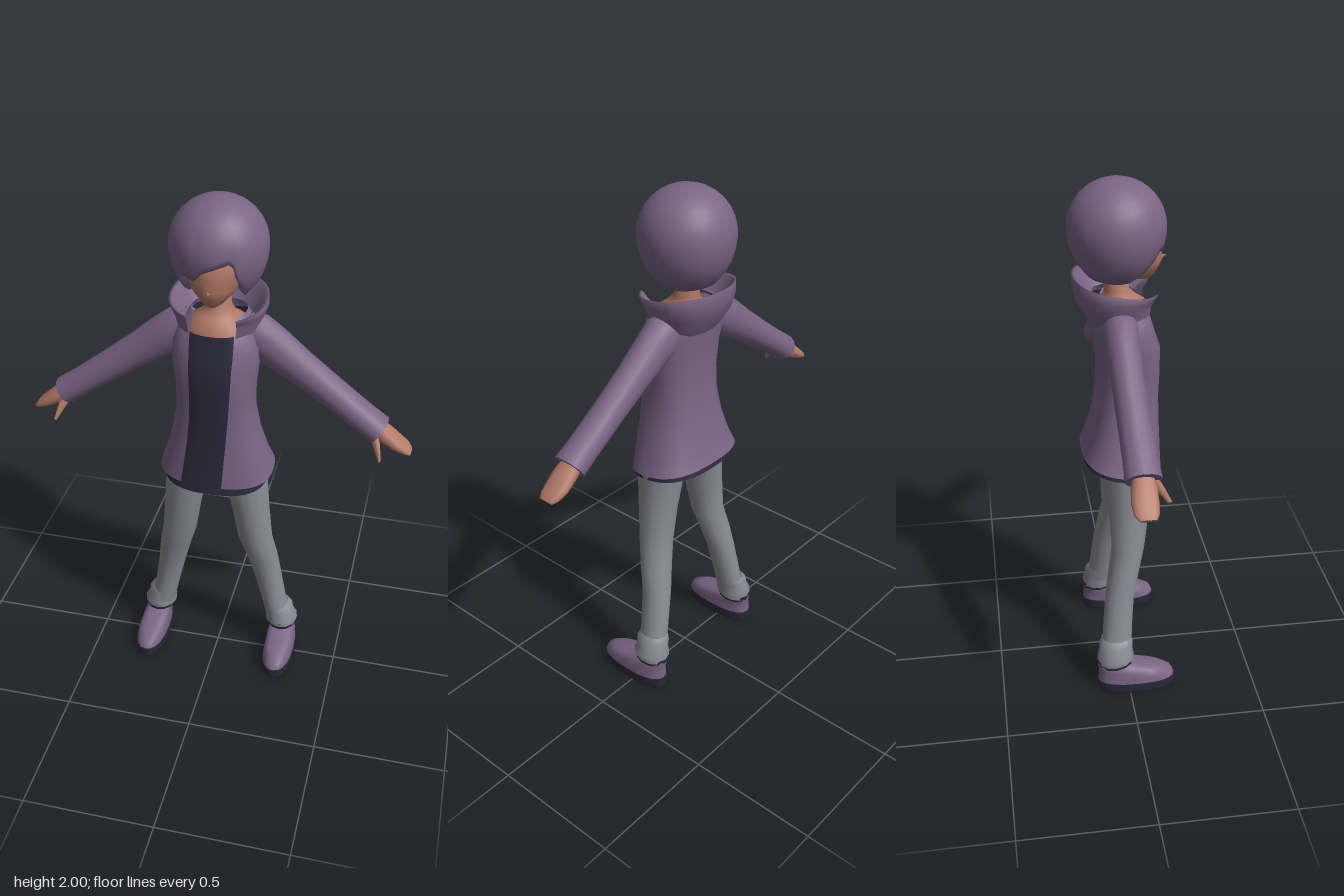
import * as THREE from 'three';

const material = (name, color) => {
  const m = new THREE.MeshStandardMaterial({ color, side: THREE.DoubleSide });
  m.name = name;
  return m;
};

// Surface through rows of points, listed from top to bottom
function grid(rows, closed) {
  const n = rows[0].length, index = [];
  for (let i = 0; i < rows.length - 1; i++) {
    for (let j = 0; j < (closed ? n : n - 1); j++) {
      const k = (j + 1) % n, a = i * n + j, b = i * n + k, c = a + n, d = b + n;
      index.push(a, c, b, b, c, d);
    }
  }
  const geo = new THREE.BufferGeometry();
  geo.setAttribute('position', new THREE.Float32BufferAttribute(rows.flat(2), 3));
  geo.setIndex(index);
  geo.computeVertexNormals();
  return geo;
}

// Ring: [y, cx, cz, rx, rz, tilt, gap on +x side, gap on -x side]
// power below 1 makes the section boxier; the gaps leave the front open
function loft(rings, { power = 1, sides = 20, capTop = false, capEnd = false } = {}) {
  const open = rings[0].length > 6;
  const bend = v => Math.sign(v) * Math.abs(v) ** power;
  const all = [...rings];
  const flat = r => [r[0], r[1], r[2], 0, 0, 0];
  if (capTop) all.unshift(flat(rings[0]), rings[0]);
  if (capEnd) all.push(rings.at(-1), flat(rings.at(-1)));
  const rows = all.map(([y, cx, cz, rx, rz, tilt = 0, gapL = 0, gapR = 0]) => {
    const start = open ? Math.asin((gapL / rx) ** (1 / power)) : 0;
    const end = 2 * Math.PI - (open ? Math.asin((gapR / rx) ** (1 / power)) : 0);
    return Array.from({ length: open ? sides + 1 : sides }, (_, j) => {
      const a = start + (end - start) * j / sides;
      const x = rx * bend(Math.sin(a)), z = rz * bend(Math.cos(a));
      return [cx + x, y + tilt * z, cz + z];
    });
  });
  return grid(rows, !open);
}

// Hair shell: a rounded bob whose lower edge follows the fringe and side locks
function hairGeometry() {
  const edge = [[-180, 1.66], [-90, 1.65], [-72, 1.655], [-58, 1.68], [-45, 1.72], [-34, 1.77],
    [-19, 1.745], [-5, 1.79], [12, 1.81], [28, 1.83], [34, 1.76], [48, 1.70], [64, 1.665],
    [90, 1.65], [180, 1.66]];
  const edgeAt = deg => {
    const i = Math.max(1, edge.findIndex(e => e[0] >= deg));
    const [a, b] = [edge[i - 1], edge[i]];
    return a[1] + (b[1] - a[1]) * (deg - a[0]) / (b[0] - a[0]);
  };
  const radius = y => 0.175 * Math.sqrt(Math.max(0, 1 - ((y - 1.83) / (y > 1.83 ? 0.17 : 0.215)) ** 2));
  const rows = [], count = 12, cols = 60;
  for (let i = 0; i <= count + 1; i++) {
    const row = [];
    for (let j = 0; j < cols; j++) {
      const deg = -180 + 360 * j / cols, a = THREE.MathUtils.degToRad(deg), low = edgeAt(deg);
      const t = Math.min(i, count) / count;
      let y = 2 - (2 - low) * (1 - Math.cos(t * Math.PI * 0.5)) ** 0.9;
      let r = radius(y);
      if (i > count) { r *= 0.6; y += 0.03; } // turned-in underside
      row.push([r * Math.sin(a), y, r * Math.cos(a) - 0.01]);
    }
    rows.push(row);
  }
  return grid(rows, true);
}

export function createModel() {
  const model = new THREE.Group();
  model.name = 'hoodedFigure';
  const purple = material('purple', 0x7a6585);
  const dark = material('darkNavy', 0x2b2a3a);
  const grey = material('trouserGrey', 0x8c8c96);
  const skin = material('skin', 0xb27a68);
  const add = (name, geo, mat, parent = model) => {
    const mesh = new THREE.Mesh(geo, mat);
    mesh.name = name;
    parent.add(mesh);
    return mesh;
  };

  // Head
  add('hair', hairGeometry(), purple);
  add('face', loft([
    [1.88, 0, -0.01, 0.12, 0.12], [1.80, 0, 0.005, 0.125, 0.135], [1.77, 0, 0.01, 0.116, 0.14],
    [1.71, 0, 0.03, 0.092, 0.122], [1.68, 0, 0.04, 0.07, 0.1], [1.65, 0, 0.06, 0.04, 0.063],
    [1.635, 0, 0.08, 0.015, 0.022],
  ], { capTop: true, capEnd: true }), skin);
  const nose = add('nose', new THREE.ConeGeometry(0.014, 0.035, 4), skin);
  nose.position.set(0, 1.712, 0.153);
  nose.rotation.x = 1.2;
  add('neck', loft([
    [1.70, 0, -0.02, 0.045, 0.045], [1.60, 0, -0.01, 0.046, 0.045], [1.57, 0, 0, 0.07, 0.065],
    [1.545, 0, 0, 0.11, 0.1], [1.50, 0, 0, 0.13, 0.105],
  ]), skin);

  // Shirt, with its hem below the jacket and a recessed underside
  add('shirt', loft([
    [1.545, 0, 0, 0.115, 0.107, -0.2], [1.47, 0, 0.01, 0.15, 0.106], [1.4, 0, 0.026, 0.147, 0.112],
    [1.3, 0, 0.03, 0.137, 0.11], [1.2, 0, 0.026, 0.137, 0.111], [1.1, 0, 0.019, 0.155, 0.119],
    [1.0, 0, 0.009, 0.183, 0.134], [0.905, 0, 0.005, 0.2, 0.15, -0.17],
    [0.905, 0, 0.005, 0.2, 0.15, -0.17], [0.96, 0, 0.005, 0.15, 0.11],
  ], { power: 0.78, sides: 28, capEnd: true }), dark);

  // Open jacket
  add('jacket', loft([
    [1.58, 0, -0.02, 0.10, 0.08, 0, 0.08, 0.08], [1.53, 0, 0, 0.14, 0.107, 0, 0.08, 0.08],
    [1.47, 0, 0.01, 0.16, 0.112, 0, 0.08, 0.08], [1.4, 0, 0.027, 0.157, 0.118, 0, 0.078, 0.077],
    [1.3, 0, 0.03, 0.146, 0.116, 0, 0.073, 0.075], [1.2, 0, 0.026, 0.146, 0.117, 0, 0.067, 0.077],
    [1.1, 0, 0.02, 0.165, 0.125, 0, 0.06, 0.085], [1.0, 0, 0.009, 0.194, 0.14, 0, 0.053, 0.099],
    [0.933, 0, 0.002, 0.218, 0.151, -0.15, 0.047, 0.11],
  ], { power: 0.78, sides: 36 }), purple);

  // Lowered hood standing up around the neck, outside and lining
  add('hood', loft([
    [1.55, 0, -0.02, 0.115, 0.095, 0, 0.085, 0.085], [1.60, 0, -0.015, 0.15, 0.135, -0.1, 0.09, 0.09],
    [1.628, 0, -0.012, 0.166, 0.15, -0.175, 0.09, 0.09], [1.63, 0, -0.012, 0.177, 0.158, -0.175, 0.09, 0.09],
    [1.60, 0, -0.02, 0.176, 0.15, -0.1, 0.09, 0.09], [1.56, 0, -0.02, 0.16, 0.137, 0, 0.088, 0.088],
    [1.49, 0, 0, 0.135, 0.113, 0, 0.082, 0.082],
  ], { power: 0.9, sides: 32 }), purple);

  for (const s of [1, -1]) {
    const side = s > 0 ? 'left' : 'right';

    // Arm, built hanging down and swung outward
    const arm = new THREE.Group();
    arm.name = side + 'Arm';
    arm.position.set(s * 0.13, 1.5, 0);
    arm.rotation.z = s * 0.951;
    model.add(arm);
    add(side + 'Sleeve', loft([
      [0.05, 0, -0.015, 0.05, 0.045], [0, 0, -0.015, 0.079, 0.066], [-0.08, 0, -0.015, 0.077, 0.062],
      [-0.2, 0, -0.013, 0.066, 0.058], [-0.35, 0, -0.01, 0.058, 0.058], [-0.5, 0, -0.005, 0.053, 0.061],
      [-0.578, 0, -0.003, 0.054, 0.064],
    ], { capTop: true, capEnd: true, sides: 16 }), purple, arm);
    add(side + 'Hand', loft([
      [-0.55, 0, -0.005, 0.032, 0.036], [-0.61, 0, -0.006, 0.031, 0.045], [-0.66, 0, -0.008, 0.025, 0.047],
      [-0.70, s * 0.004, -0.008, 0.017, 0.042], [-0.722, s * 0.005, -0.006, 0.008, 0.03],
    ], { capEnd: true, sides: 12, power: 0.85 }), skin, arm);
    add(side + 'Thumb', loft([
      [-0.56, -s * 0.01, 0.025, 0.02, 0.02], [-0.60, -s * 0.03, 0.052, 0.017, 0.017],
      [-0.64, -s * 0.056, 0.083, 0.007, 0.009],
    ], { capEnd: true, sides: 8 }), skin, arm);

    // Trouser leg with a loose turned-up cuff
    add(side + 'TrouserLeg', loft([
      [0.97, s * 0.105, 0.015, 0.095, 0.1], [0.87, s * 0.117, 0.02, 0.083, 0.09],
      [0.75, s * 0.135, 0.018, 0.073, 0.078], [0.6, s * 0.155, 0.012, 0.068, 0.064],
      [0.5, s * 0.18, -0.008, 0.063, 0.06], [0.4, s * 0.2, -0.027, 0.056, 0.057],
      [0.25, s * 0.23, -0.04, 0.05, 0.058], [0.16, s * 0.25, -0.046, 0.05, 0.06],
    ], { sides: 16 }), grey);
    add(side + 'Cuff', loft([
      [0.225, s * 0.238, -0.045, 0.05, 0.058], [0.205, s * 0.25, -0.048, 0.06, 0.067],
      [0.175, s * 0.256, -0.05, 0.057, 0.066], [0.15, s * 0.262, -0.052, 0.067, 0.073],
      [0.128, s * 0.263, -0.052, 0.062, 0.071, 0.12],
    ], { sides: 12 }), grey);
    add(side + 'CuffHem', loft([
      [0.142, s * 0.263, -0.052, 0.062, 0.073, 0.12], [0.115, s * 0.264, -0.053, 0.058, 0.069, 0.1],
    ], { capEnd: true, sides: 12 }), dark);

    // Shoe
    add(side + 'Shoe', loft([
      [0.125, s * 0.266, -0.06, 0.045, 0.06], [0.108, s * 0.268, -0.035, 0.051, 0.088],
      [0.092, s * 0.27, 0.005, 0.055, 0.124], [0.07, s * 0.272, 0.026, 0.059, 0.147],
      [0.04, s * 0.272, 0.03, 0.06, 0.153],
    ], { capTop: true, power: 0.85 }), purple);
    add(side + 'Sole', loft([
      [0.045, s * 0.272, 0.03, 0.062, 0.156], [0.012, s * 0.272, 0.03, 0.061, 0.155],
      [0, s * 0.272, 0.028, 0.056, 0.148],
    ], { capTop: true, capEnd: true, power: 0.85 }), dark);
  }
  return model;
}
